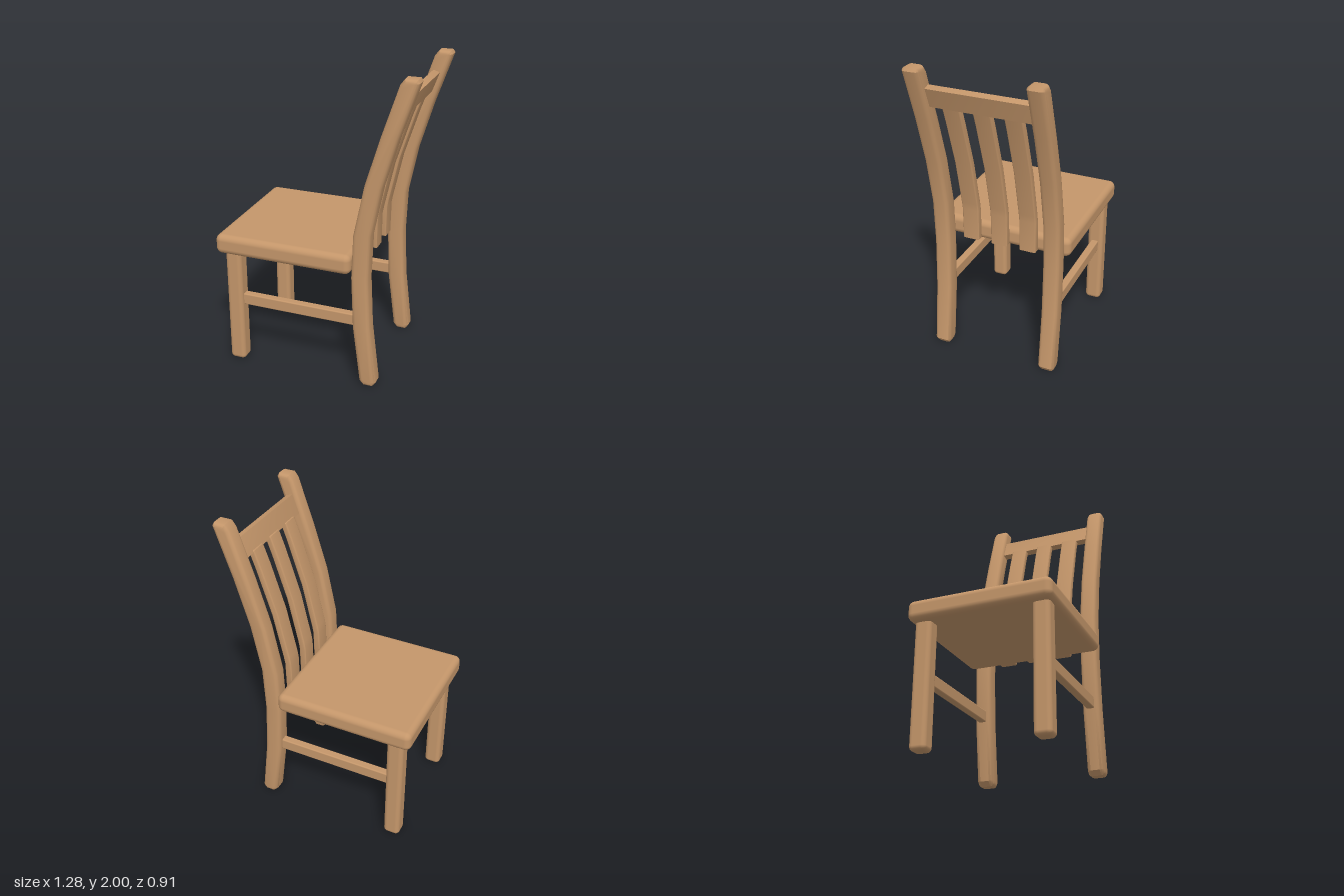
import * as THREE from 'three';
import { toCreasedNormals } from 'three/addons/utils/BufferGeometryUtils.js';
import { RoundedBoxGeometry } from 'three/addons/geometries/RoundedBoxGeometry.js';

const wood = new THREE.MeshStandardMaterial({ color: 0xc4966a });
wood.name = 'wood';

// Rounded block given by its min and max on each axis
function block(name, [x0, x1], [y0, y1], [z0, z1], radius) {
  const mesh = new THREE.Mesh(new RoundedBoxGeometry(x1 - x0, y1 - y0, z1 - z0, 3, radius), wood);
  mesh.position.set((x0 + x1) / 2, (y0 + y1) / 2, (z0 + z1) / 2);
  mesh.name = name;
  return mesh;
}

// Side profile extruded across z, with rounded long edges
function profile(name, points, z, width, bevel) {
  const shape = new THREE.Shape(points.map(([x, y]) => new THREE.Vector2(x, y)));
  const extruded = new THREE.ExtrudeGeometry(shape, {
    depth: width - 2 * bevel, bevelEnabled: true, bevelThickness: bevel,
    bevelSize: bevel, bevelOffset: -bevel, bevelSegments: 3,
  });
  extruded.translate(0, 0, bevel - width / 2);
  const mesh = new THREE.Mesh(toCreasedNormals(extruded, 0.6), wood);
  mesh.position.z = z;
  mesh.name = name;
  return mesh;
}

export function createModel() {
  const chair = new THREE.Group();
  chair.name = 'chair';

  chair.add(block('seat', [-0.64, 0.26], [0.775, 0.905], [-0.455, 0.455], 0.04));

  // Curved back post: front edge upward, rear edge downward, corners cut
  const post = [
    [0.345, 0], [0.318, 0.03], [0.27, 0.41], [0.256, 0.75], [0.266, 1.03], [0.33, 1.35],
    [0.42, 1.65], [0.525, 1.965], [0.552, 2], [0.625, 2], [0.637, 1.98], [0.528, 1.66],
    [0.437, 1.35], [0.376, 1.04], [0.365, 0.75], [0.38, 0.42], [0.426, 0.03], [0.405, 0],
  ];

  for (const side of [-1, 1]) {
    const z = side * 0.372;
    chair.add(profile('backPost', post, z, 0.107, 0.025));
    chair.add(block('frontLeg', [-0.587, -0.48], [0, 0.8], [z - 0.0535, z + 0.0535], 0.028));
    chair.add(block('sideStretcher', [-0.5, 0.3], [0.41, 0.487], [z - 0.025, z + 0.025], 0.008));
  }

  // Curved slats between the seat and the top rail
  const slat = [
    [0.258, 0.79], [0.262, 1.0], [0.27, 1.05], [0.337, 1.35], [0.432, 1.65], [0.475, 1.77],
    [0.518, 1.77], [0.476, 1.65], [0.381, 1.35], [0.315, 1.05], [0.306, 1.0], [0.302, 0.79],
  ];
  for (const z of [-0.193, 0, 0.193]) chair.add(profile('slat', slat, z, 0.11, 0.008));

  // Leaning top rail
  const rail = [[0.48, 1.757], [0.525, 1.88], [0.567, 1.867], [0.522, 1.744]];
  chair.add(profile('topRail', rail, 0, 0.68, 0.005));

  return chair;
}
